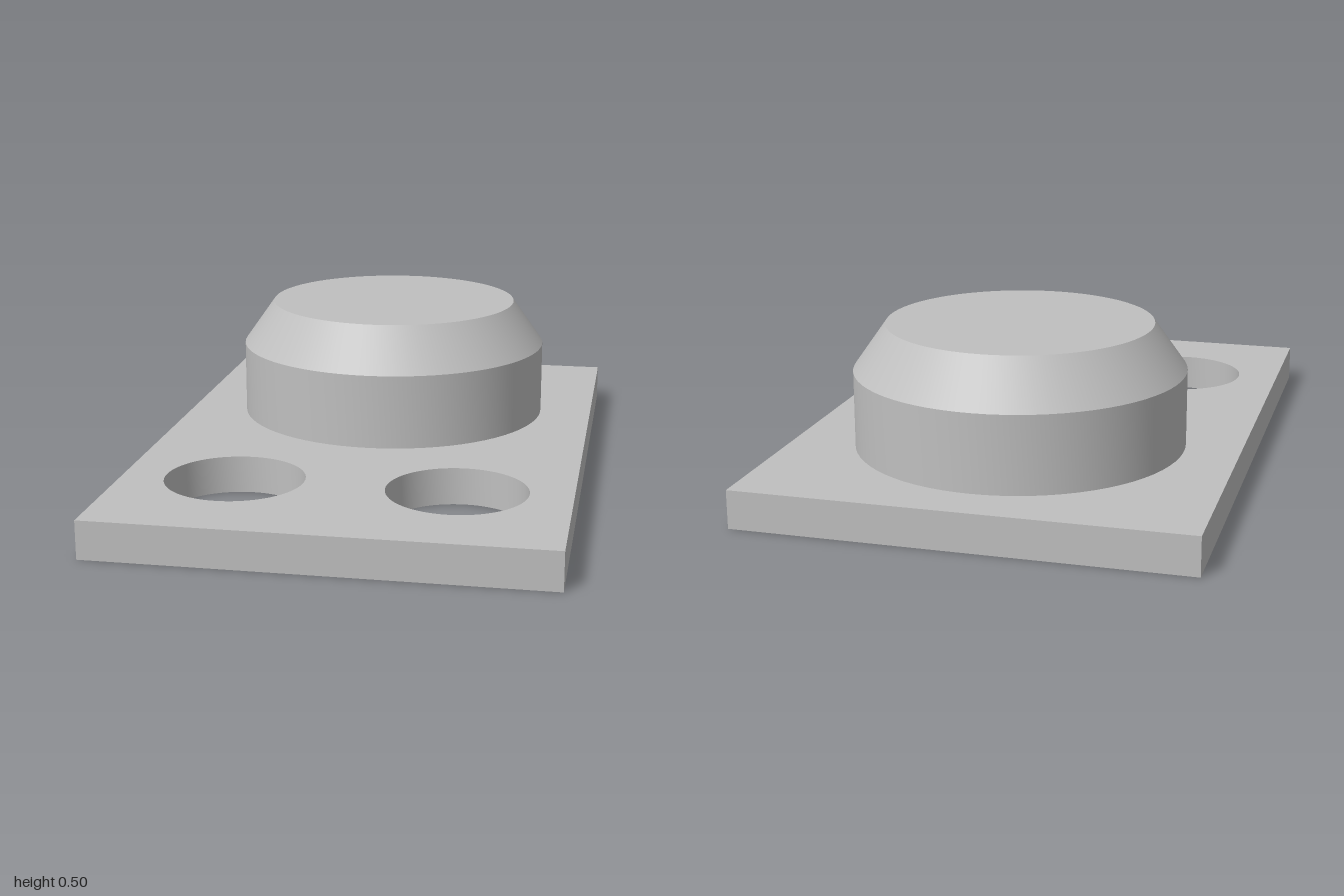
import * as THREE from 'three';
import { toCreasedNormals } from 'three/addons/utils/BufferGeometryUtils.js';

const HALF_WIDTH = 0.687, HALF_DEPTH = 1, PLATE = 0.118;
const BOSS_Z = -0.333, BOSS_R = 0.516, BORE_R = 0.325;

export function createModel() {
  const model = new THREE.Group();
  model.name = 'bossPlate';
  const grey = new THREE.MeshStandardMaterial({ color: 0xbfbfbf });
  grey.name = 'grey';

  const add = (name, geometry) => {
    const mesh = new THREE.Mesh(toCreasedNormals(geometry, 0.4), grey);
    mesh.name = name;
    model.add(mesh);
    return mesh;
  };

  // Plate with two through holes and the mouth of the blind bore
  const outline = new THREE.Shape([
    new THREE.Vector2(-HALF_WIDTH, -HALF_DEPTH),
    new THREE.Vector2(HALF_WIDTH, -HALF_DEPTH),
    new THREE.Vector2(HALF_WIDTH, HALF_DEPTH),
    new THREE.Vector2(-HALF_WIDTH, HALF_DEPTH),
  ]);
  for (const [x, z, r] of [[-0.34, 0.555, 0.215], [0.34, 0.555, 0.215], [0, BOSS_Z, BORE_R]]) {
    outline.holes.push(new THREE.Path().absarc(x, -z, r, 0, Math.PI * 2, true));
  }
  const plate = new THREE.ExtrudeGeometry(outline, {
    depth: PLATE, bevelEnabled: false, curveSegments: 36,
  });
  plate.rotateX(-Math.PI / 2);
  add('basePlate', plate);

  // Chamfered round boss, hollow from below
  const profile = [
    [0, 0.41], [BORE_R, 0.41], [BORE_R, PLATE], [BOSS_R, PLATE],
    [BOSS_R, 0.358], [0.414, 0.502], [0, 0.502],
  ].map(([r, y]) => new THREE.Vector2(r, y));
  add('boss', new THREE.LatheGeometry(profile, 72)).position.z = BOSS_Z;

  return model;
}
